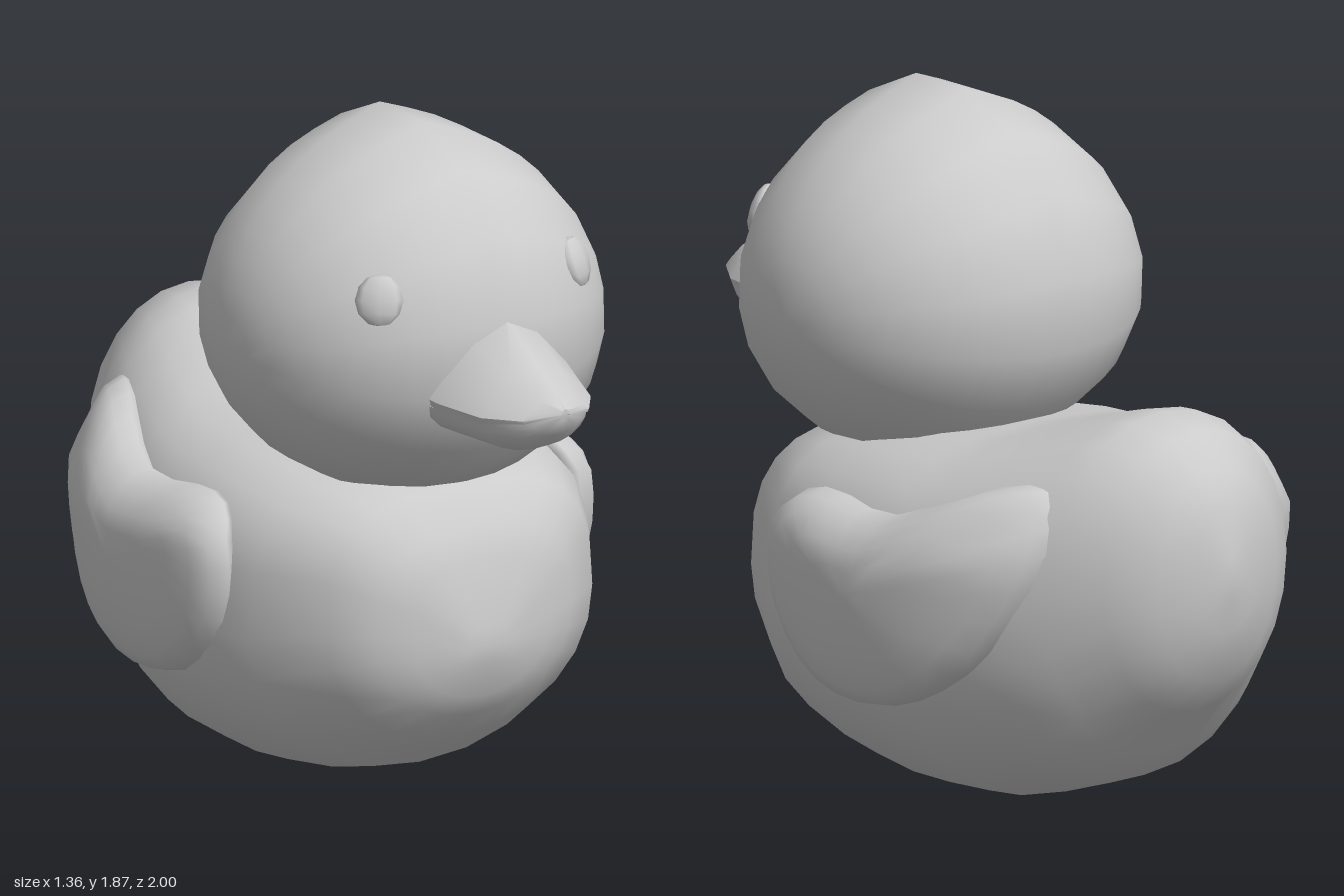
import * as THREE from 'three';
import { toCreasedNormals } from 'three/addons/utils/BufferGeometryUtils.js';

const material = new THREE.MeshStandardMaterial({ color: 0xcccccc });

// Skin a list of closed rings (arrays of [x, y, z]) and cap both ends.
// Points run counterclockwise as seen from the side the rings advance to.
function loft(rings) {
  const n = rings[0].length, last = rings.length - 1;
  const centre = (ring) => [0, 1, 2].map((k) => ring.reduce((sum, p) => sum + p[k], 0) / n);
  const points = [...rings.flat(), centre(rings[0]), centre(rings[last])];
  const start = points.length - 2, end = points.length - 1, index = [];
  for (let j = 0; j < n; j++) {
    const k = (j + 1) % n;
    for (let i = 0; i < last; i++) {
      const a = i * n + j, b = i * n + k;
      index.push(a, b, b + n, a, b + n, a + n);
    }
    index.push(start, k, j, end, last * n + j, last * n + k);
  }
  const geometry = new THREE.BufferGeometry();
  geometry.setAttribute('position', new THREE.Float32BufferAttribute(points.flat(), 3));
  geometry.setIndex(index);
  geometry.computeVertexNormals();
  return geometry;
}

function part(name, geometry) {
  const mesh = new THREE.Mesh(geometry, material);
  mesh.name = name;
  return mesh;
}

// Body: squarish-topped ovals from tail to breast
function makeBody() {
  // z, bottom, top, half width
  const stations = [
    [-1, 0.68, 0.80, 0.03], [-0.98, 0.58, 0.92, 0.11], [-0.94, 0.44, 1.02, 0.21],
    [-0.85, 0.34, 1.11, 0.32], [-0.72, 0.2, 1.14, 0.41], [-0.64, 0.12, 1.13, 0.46],
    [-0.5, 0.07, 1.09, 0.52], [-0.32, 0.01, 1.035, 0.57], [-0.2, 0, 1.01, 0.59],
    [-0.05, 0, 1.0, 0.59], [0.1, 0.02, 0.98, 0.58], [0.28, 0.07, 0.95, 0.54],
    [0.48, 0.2, 0.9, 0.42], [0.55, 0.28, 0.8, 0.31], [0.59, 0.34, 0.72, 0.22],
    [0.62, 0.44, 0.54, 0.07],
  ];
  const n = 24;
  return part('body', loft(stations.map(([z, bottom, top, w]) => {
    const upper = 2.1 + 0.9 * THREE.MathUtils.smoothstep(z, -0.7, -0.1);
    return Array.from({ length: n }, (_, j) => {
      const t = (j / n) * Math.PI * 2, c = Math.cos(t), s = Math.sin(t);
      const power = 2 / (s > 0 ? upper : 2.1);
      return [
        w * Math.sign(c) * Math.abs(c) ** power,
        (bottom + top) / 2 + ((top - bottom) / 2) * Math.sign(s) * Math.abs(s) ** power,
        z,
      ];
    });
  })));
}

// Head: coarse sphere with its poles at the cheeks, peaked along the crown
// and pushed slightly forward below
function makeHead() {
  const geometry = new THREE.SphereGeometry(1, 16, 20);
  geometry.rotateZ(Math.PI / 2).rotateX(Math.PI / 16);
  const p = geometry.attributes.position, normal = geometry.attributes.normal;
  for (let i = 0; i < p.count; i++) {
    const x = p.getX(i), y = p.getY(i), z = p.getZ(i);
    const ry = y > 0 ? 0.57 * (1 - 0.16 * Math.abs(x) ** 0.7) : 0.465;
    const v = new THREE.Vector3(x / 0.55, y / ry, z / 0.53).normalize();
    normal.setXYZ(i, v.x, v.y, v.z);
    p.setXYZ(i, x * 0.55, 1.31 + y * ry, 0.19 + z * 0.53 + 0.04 * Math.max(0, -y));
  }
  return part('head', geometry);
}

// Beak: roof-shaped upper half over a rounded lower half
function makeBeak() {
  const beak = new THREE.Group();
  beak.name = 'beak';
  // z, half width, ridge height, edge height
  const upper = [
    [0.5, 0.235, 1.46, 1.24], [0.71, 0.22, 1.42, 1.23], [0.85, 0.175, 1.345, 1.22],
    [0.95, 0.105, 1.285, 1.225], [0.997, 0.015, 1.255, 1.24],
  ].map(([z, w, ridge, edge]) => {
    const h = ridge - edge;
    const half = [[w, edge], [w * 0.85, edge + h * 0.25], [w * 0.45, edge + h * 0.75]];
    return [
      ...half.map(([x, y]) => [x, y, z]), [0, ridge, z],
      ...half.reverse().map(([x, y]) => [-x, y, z]),
      [-w * 0.95, edge - h * 0.15, z], [0, edge, z], [w * 0.95, edge - h * 0.15, z],
    ];
  });
  // z, half width, lowest point, rim height
  const lower = [
    [0.5, 0.225, 1.1, 1.21], [0.66, 0.22, 1.1, 1.21], [0.84, 0.17, 1.1, 1.21],
    [0.91, 0.125, 1.13, 1.215], [0.955, 0.08, 1.17, 1.22], [0.985, 0.02, 1.22, 1.235],
  ].map(([z, w, low, rim]) => Array.from({ length: 11 }, (_, j) => {
    const t = Math.PI * (1 + j / 10);
    return [w * Math.cos(t), rim + (rim - low) * Math.sin(t), z];
  }));
  beak.add(part('upperBeak', toCreasedNormals(loft(upper), 0.8)));
  beak.add(part('lowerBeak', toCreasedNormals(loft(lower), 0.8)));
  return beak;
}

// Wing: puffy bean outline wrapped along the flank; side is +1 or -1
function makeWing(side) {
  // z, y
  const outline = [
    [0.21, 0.69], [0.18, 0.8], [0.11, 0.855], [-0.02, 0.86], [-0.2, 0.84], [-0.38, 0.9],
    [-0.52, 0.96], [-0.64, 0.97], [-0.69, 0.92], [-0.71, 0.81], [-0.65, 0.65], [-0.55, 0.5],
    [-0.43, 0.4], [-0.3, 0.34], [-0.15, 0.32], [0, 0.35], [0.12, 0.44], [0.19, 0.56],
  ].map(([z, y]) => new THREE.Vector3(0, y, z));
  const points = new THREE.CatmullRomCurve3(outline, true).getPoints(30).slice(0, 30);
  if (side > 0) points.reverse();
  const cy = 0.63, cz = -0.2, rings = [];
  for (let i = -5; i <= 5; i++) {
    const a = (i / 5) * 1.5, s = Math.cos(a);
    const bulge = Math.sign(i) * Math.abs(Math.sin(a)) ** 0.7 * (i > 0 ? 0.12 : 0.07);
    rings.push(points.map((p) => {
      const y = cy + (p.y - cy) * s, z = cz + (p.z - cz) * s;
      // follows the flank as it narrows toward the tail and the back
      const flank = 0.56 - 0.6 * Math.max(0, -0.2 - z) ** 2 - 0.5 * Math.max(0, y - 0.77);
      return [side * (flank + bulge), y, z];
    }));
  }
  return part(side > 0 ? 'leftWing' : 'rightWing', loft(rings));
}

// Eye: flattened bead lying on the head
function makeEye(side) {
  const eye = part(side > 0 ? 'leftEye' : 'rightEye', new THREE.SphereGeometry(1, 8, 6));
  eye.scale.set(0.068, 0.072, 0.03);
  eye.position.set(side * 0.31, 1.495, 0.565);
  eye.lookAt(side * 1.33, 2.1, 2.05);
  return eye;
}

export function createModel() {
  const model = new THREE.Group();
  model.name = 'toyDuck';
  model.add(makeBody(), makeHead(), makeBeak());
  for (const side of [1, -1]) model.add(makeWing(side), makeEye(side));
  return model;
}
